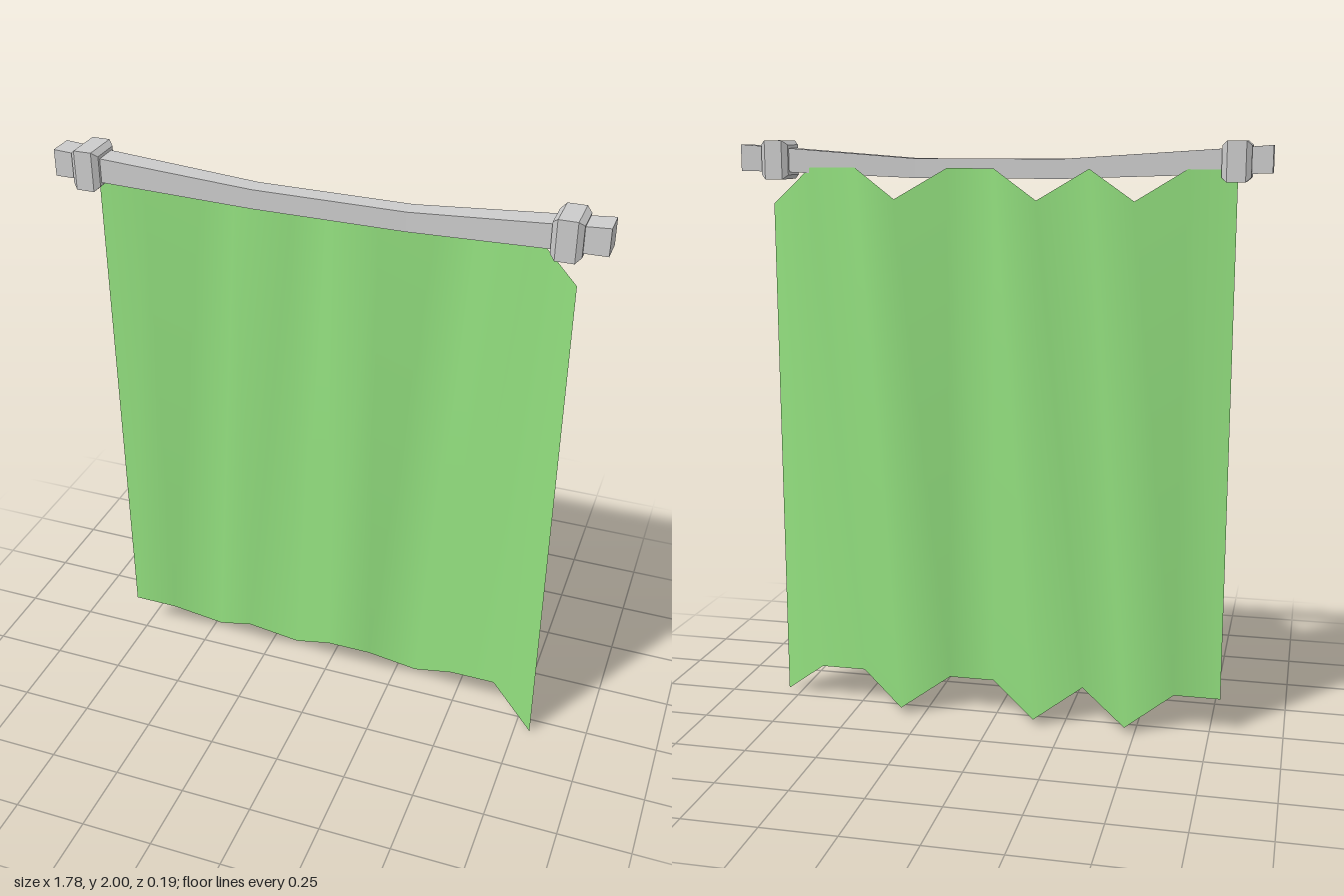
import * as THREE from 'three';

const rodMaterial = new THREE.MeshStandardMaterial({ color: 0xcccccc, flatShading: true });
const clothMaterial = new THREE.MeshStandardMaterial({ color: 0x93e07f, side: THREE.DoubleSide });

const ROD_Z = 0.03;

// Square cross-sections joined along x; each section is [x, centre y, half size]
function squareLoft(name, sections) {
  const positions = [];
  const index = [];
  const corners = [[-1, 1], [1, 1], [1, -1], [-1, -1]];
  for (const [x, y, h] of sections) {
    for (const [cy, cz] of corners) positions.push(x, y + cy * h, ROD_Z + cz * h);
  }
  const last = (sections.length - 1) * 4;
  for (let i = 0; i < last; i += 4) {
    for (let k = 0; k < 4; k++) {
      const n = (k + 1) % 4;
      index.push(i + k, i + 4 + k, i + 4 + n, i + k, i + 4 + n, i + n);
    }
  }
  // end caps
  index.push(0, 1, 2, 0, 2, 3, last, last + 2, last + 1, last, last + 3, last + 2);
  const indexed = new THREE.BufferGeometry();
  indexed.setAttribute('position', new THREE.Float32BufferAttribute(positions, 3));
  indexed.setIndex(index);
  const geometry = indexed.toNonIndexed();
  geometry.computeVertexNormals();
  const mesh = new THREE.Mesh(geometry, rodMaterial);
  mesh.name = name;
  return mesh;
}

// Bevelled square collar around the rod
function collar(name, x) {
  const y = 1.935;
  return squareLoft(name, [
    [x - 0.047, y, 0.05], [x - 0.03, y, 0.065],
    [x + 0.03, y, 0.065], [x + 0.047, y, 0.05],
  ]);
}

// Hanging cloth: a vertical strip whose columns swing forward or back and drop where they do
function curtain() {
  const folds = [ // [z, bottom y] for each column
    [-0.01, 0.13], [-0.01, 0.13], [-0.09, 0.03], [-0.01, 0.13], [-0.09, 0.03], [-0.01, 0.13],
    [-0.01, 0.13], [-0.09, 0.03], [-0.01, 0.13], [-0.01, 0.13], [0.06, 0.005],
  ];
  const positions = [];
  const index = [];
  folds.forEach(([z, bottom], i) => {
    const x = -0.785 + i * 0.159;
    positions.push(x, bottom, z, x, bottom + 1.78, z);
    if (i < folds.length - 1) {
      const a = i * 2;
      index.push(a, a + 2, a + 3, a, a + 3, a + 1);
    }
  });
  const geometry = new THREE.BufferGeometry();
  geometry.setAttribute('position', new THREE.Float32BufferAttribute(positions, 3));
  geometry.setIndex(index);
  geometry.computeVertexNormals();
  const mesh = new THREE.Mesh(geometry, clothMaterial);
  mesh.name = 'curtain';
  return mesh;
}

export function createModel() {
  const group = new THREE.Group();
  group.name = 'hangingCurtain';

  // Sagging rod, thinner in the middle
  group.add(squareLoft('rod', [
    [-0.893, 1.942, 0.044], [-0.74, 1.935, 0.04], [-0.22, 1.909, 0.032],
    [0.28, 1.909, 0.032], [0.74, 1.935, 0.04], [0.89, 1.942, 0.044],
  ]));
  group.add(collar('rightCollar', -0.78), collar('leftCollar', 0.767));
  group.add(curtain());
  return group;
}
